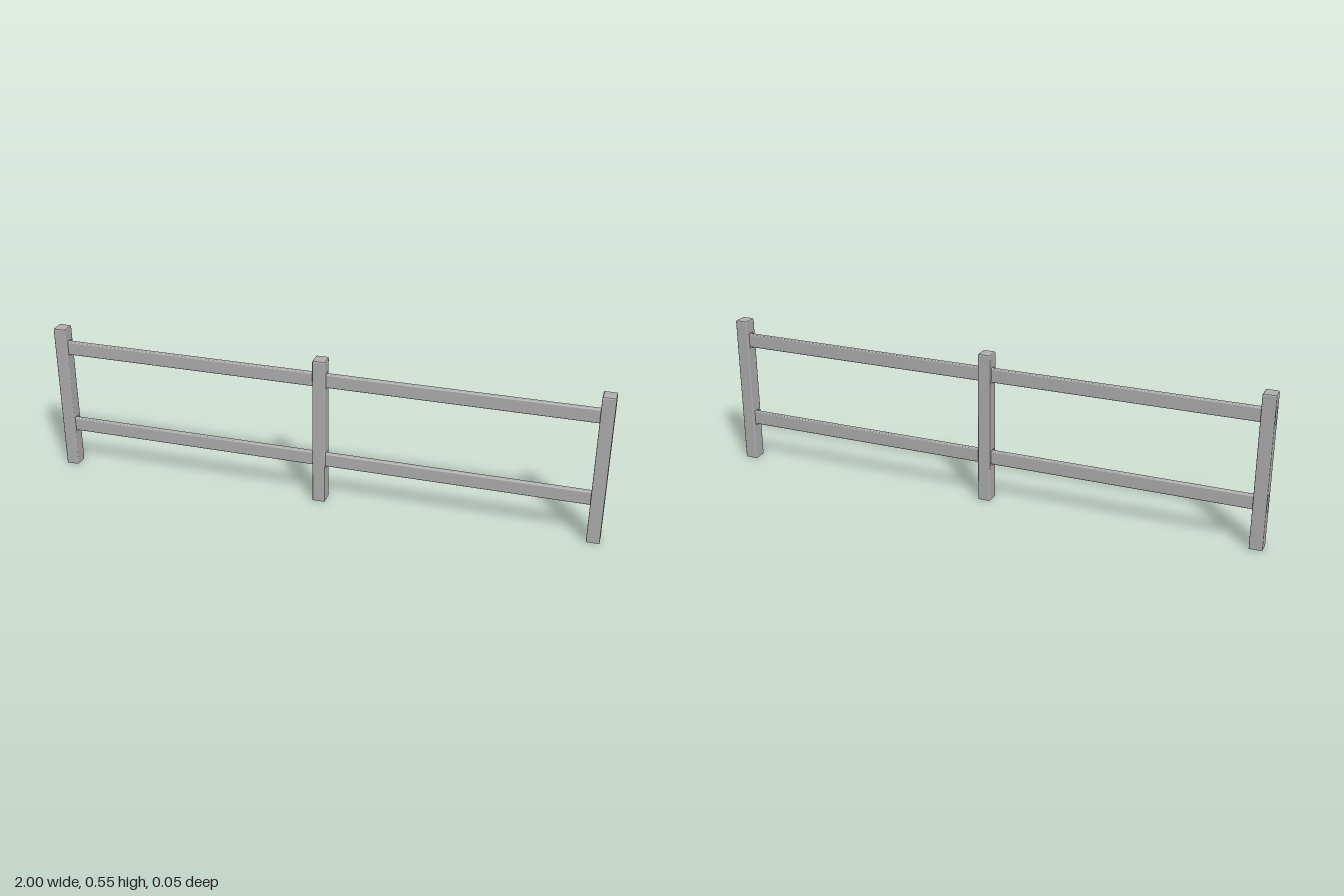
import * as THREE from 'three';
import { RoundedBoxGeometry } from 'three/addons/geometries/RoundedBoxGeometry.js';

const W = 0.046, D = 0.052, H = 0.552; // post size
const R = 0.004;                       // edge rounding
const WALL_TOP = 0.546;
const RAIL_Y = [0.162, 0.472];         // rail centre heights
const SLOT = { w: 0.027, h: 0.058 };   // slot cut through the post sides

const metal = new THREE.MeshStandardMaterial({ color: 0xb0b0b0, side: THREE.DoubleSide });
metal.name = 'grey metal';

function addMesh(parent, name, geometry) {
  const mesh = new THREE.Mesh(geometry, metal);
  mesh.name = name;
  parent.add(mesh);
  return mesh;
}

// Flat wall standing on y = 0, facing +z, with optional rail slots
function wall(width, slotted) {
  const s = new THREE.Shape();
  s.moveTo(-width / 2, 0);
  s.lineTo(width / 2, 0);
  s.lineTo(width / 2, WALL_TOP);
  s.lineTo(-width / 2, WALL_TOP);
  s.closePath();
  if (slotted) {
    for (const y of RAIL_Y) {
      const a = SLOT.w / 2, b = SLOT.h / 2, c = 0.003;
      const hole = new THREE.Path();
      hole.moveTo(-a + c, y - b);
      hole.lineTo(-a, y - b + c);
      hole.lineTo(-a, y + b - c);
      hole.lineTo(-a + c, y + b);
      hole.lineTo(a - c, y + b);
      hole.lineTo(a, y + b - c);
      hole.lineTo(a, y - b + c);
      hole.lineTo(a - c, y - b);
      hole.closePath();
      s.holes.push(hole);
    }
  }
  return new THREE.ShapeGeometry(s);
}

// Softly rounded cap from shrinking rounded-rectangle rings
function capGeometry() {
  const rings = [[WALL_TOP, 0], [0.55, 0.0018], [H, 0.006], [H, null]];
  const pos = [], index = [], n = 16;
  for (const [y, inset] of rings) {
    for (let i = 0; i < n; i++) {
      if (inset === null) { pos.push(0, y, 0); continue; }
      const q = Math.floor(i / 4);
      const a = (q + (i % 4) / 3) * Math.PI / 2;
      const sx = q === 0 || q === 3 ? 1 : -1, sz = q < 2 ? 1 : -1;
      const k = R - Math.min(inset, R * 0.8);
      pos.push(sx * (W / 2 - inset - k) + k * Math.cos(a), y,
        sz * (D / 2 - inset - k) + k * Math.sin(a));
    }
  }
  for (let r = 0; r < rings.length - 1; r++) {
    for (let i = 0; i < n; i++) {
      const a = r * n + i, b = r * n + (i + 1) % n;
      index.push(a, a + n, b);
      if (r < rings.length - 2) index.push(b, a + n, b + n);
    }
  }
  const g = new THREE.BufferGeometry();
  g.setAttribute('position', new THREE.Float32BufferAttribute(pos, 3));
  g.setIndex(index);
  const flat = g.toNonIndexed();
  flat.computeVertexNormals();
  return flat;
}

// Hollow post, open at the bottom
function makePost(name, x) {
  const post = new THREE.Group();
  post.name = name;
  post.position.x = x;
  for (let i = 0; i < 4; i++) {
    const side = i % 2 === 1;
    const a = i * Math.PI / 2;
    const m = addMesh(post, side ? 'slottedWall' : 'plainWall', wall((side ? D : W) - 2 * R, side));
    m.rotation.y = a;
    const d = (side ? W : D) / 2;
    m.position.set(Math.sin(a) * d, 0, Math.cos(a) * d);
  }
  // Rounded vertical edges
  [[1, 1], [1, -1], [-1, -1], [-1, 1]].forEach(([sx, sz], i) => {
    const g = new THREE.CylinderGeometry(R, R, WALL_TOP, 3, 1, true, i * Math.PI / 2, Math.PI / 2);
    addMesh(post, 'roundedEdge', g)
      .position.set(sx * (W / 2 - R), WALL_TOP / 2, sz * (D / 2 - R));
  });
  addMesh(post, 'cap', capGeometry());
  return post;
}

export function createModel() {
  const fence = new THREE.Group();
  fence.name = 'railFence';

  const end = 1 - W / 2;
  fence.add(makePost('rightPost', -end), makePost('middlePost', 0), makePost('leftPost', end));

  // Two rails in each bay, ending inside the posts
  const length = end - 0.008;
  for (const side of [-1, 1]) {
    for (const y of RAIL_Y) {
      addMesh(fence, y > 0.3 ? 'topRail' : 'lowerRail', new RoundedBoxGeometry(length, 0.05, 0.02, 2, 0.004))
        .position.set(side * end / 2, y, 0);
    }
  }
  return fence;
}
